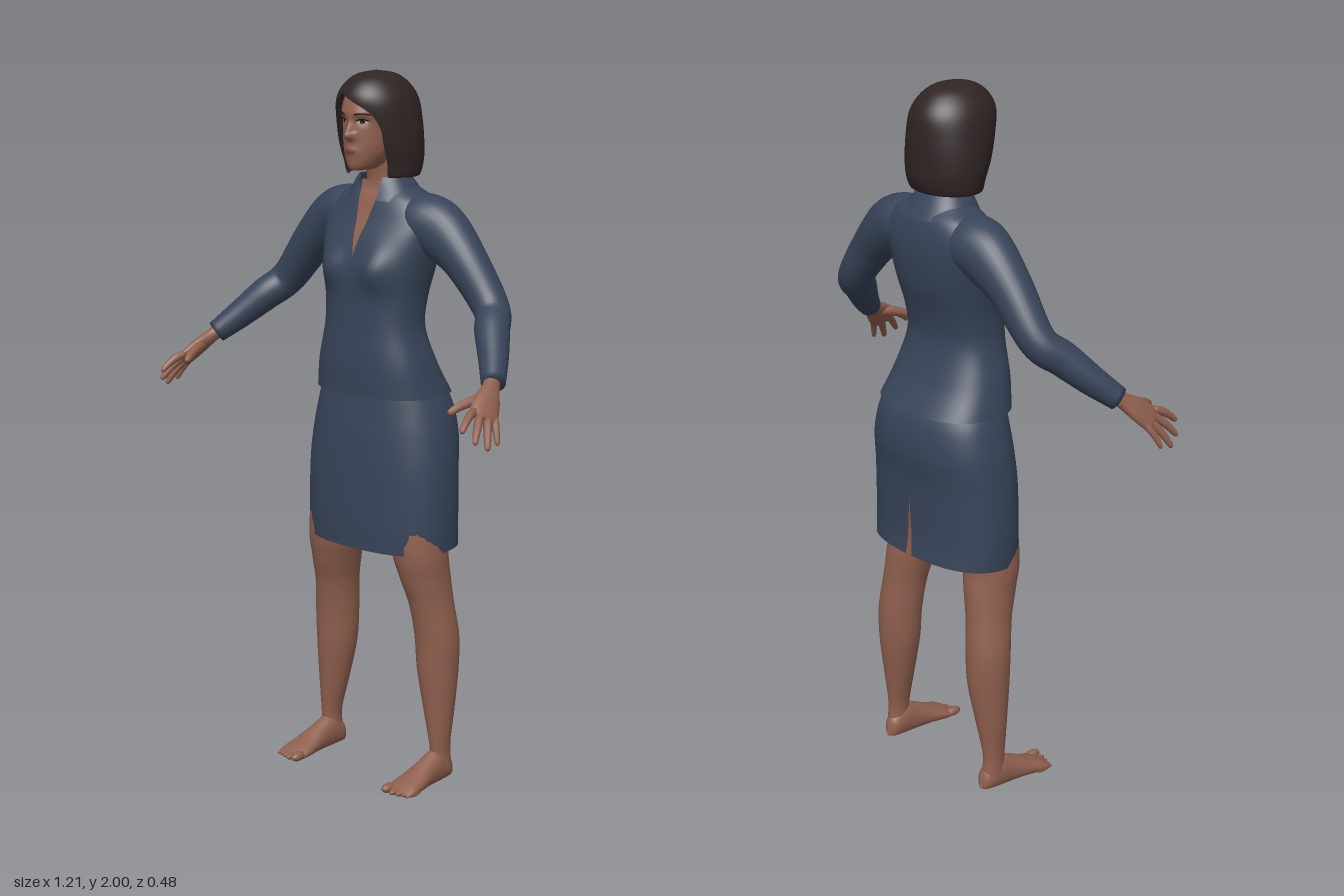
import * as THREE from 'three';
import { mergeVertices } from 'three/addons/utils/BufferGeometryUtils.js';

const mat = (name, color, side = THREE.FrontSide) => {
  const m = new THREE.MeshStandardMaterial({ color, side });
  m.name = name;
  return m;
};
const { sin, cos, asin, abs, exp, sign, min, max, floor, PI } = Math;
const bell = (d, w) => exp(-((d / w) ** 2));
const clamp = THREE.MathUtils.clamp;

// smooth interpolation through rows of numbers
const track = rows => t => {
  const n = rows.length, s = clamp(t, 0, 1) * (n - 1), i = min(floor(s), n - 2), f = s - i;
  return rows[i].map((b, k) => {
    const c = rows[i + 1][k];
    const m0 = i > 0 ? (c - rows[i - 1][k]) / 2 : c - b;
    const m1 = i < n - 2 ? (rows[i + 2][k] - b) / 2 : c - b;
    const f2 = f * f, f3 = f2 * f;
    return (2 * f3 - 3 * f2 + 1) * b + (f3 - 2 * f2 + f) * m0 + (3 * f2 - 2 * f3) * c + (f3 - f2) * m1;
  });
};

// surface from a rule: u runs around, v along
function grid(nu, nv, rule) {
  const pos = [], idx = [];
  for (let j = 0; j <= nv; j++)
    for (let i = 0; i <= nu; i++) pos.push(...rule(i / nu, j / nv));
  for (let j = 0; j < nv; j++)
    for (let i = 0; i < nu; i++) {
      const a = j * (nu + 1) + i, c = a + nu + 1;
      idx.push(a, a + 1, c + 1, a, c + 1, c);
    }
  let g = new THREE.BufferGeometry();
  g.setAttribute('position', new THREE.Float32BufferAttribute(pos, 3));
  g.setIndex(idx);
  g = mergeVertices(g, 1e-5);
  g.computeVertexNormals();
  return g;
}

// stacked rings; rows are [y, half width, front z, back z, centre x]
function shell(rows, { gap, start = 0, e = 1, warp = p => p, nu = 48, nv = 48 } = {}) {
  const at = track(rows);
  return grid(nu, nv, (u, v) => {
    const [y, rx, zf, zb, cx = 0] = at(v);
    let a = start + u * 2 * PI;
    if (gap) {
      const edge = gap(y).map(x => {
        const q = clamp(x / max(rx, 1e-4), -0.9, 0.9);
        return asin(sign(q) * abs(q) ** (1 / e));
      });
      a = start + edge[0] + u * (2 * PI + edge[1] - edge[0]);
    }
    const pw = q => sign(q) * abs(q) ** e;
    return warp([cx + rx * pw(sin(a)), y, (zf + zb) / 2 + (zf - zb) / 2 * pw(cos(a))]);
  });
}

// closed limb along a path; rows are [x, y, z, radius along ref, other radius]
function limb(rows, ref, nu = 20, nv = 32) {
  const at = track(rows);
  return grid(nu, nv, (u, v) => {
    const t = clamp((v * nv - 1) / (nv - 2), 0, 1), r = at(t);
    const T = new THREE.Vector3(...at(t + 0.01)).sub(new THREE.Vector3(...at(t - 0.01))).normalize();
    const A = ref.clone().addScaledVector(T, -ref.dot(T)).normalize();
    const B = T.clone().cross(A);
    const k = v === 0 || v === 1 ? 0 : 1, a = u * 2 * PI;
    return [0, 1, 2].map(i => r[i] + k * (A.getComponent(i) * r[3] * cos(a) + B.getComponent(i) * r[4] * sin(a)));
  });
}

function mirrored(geo) {
  const g = geo.clone().scale(-1, 1, 1), ix = g.index.array;
  for (let i = 0; i < ix.length; i += 3) [ix[i], ix[i + 1]] = [ix[i + 1], ix[i]];
  return g;
}

export function createModel() {
  const skin = mat('skin', 0x8f5f4e, THREE.DoubleSide), suit = mat('suit', 0x384459, THREE.DoubleSide);
  const hair = mat('hair', 0x302424, THREE.DoubleSide), dark = mat('browAndIris', 0x1c1413);
  const lip = mat('lips', 0x78453d), white = mat('eyeWhite', 0xb0a098);
  const model = new THREE.Group();
  model.name = 'woman';
  const add = (name, geo, m) => {
    const mesh = new THREE.Mesh(geo, m);
    mesh.name = name;
    model.add(mesh);
  };
  const pair = (name, geo, m) => {
    add('left' + name, geo, m);
    add('right' + name, mirrored(geo), m);
  };

  // jacket with an open V at the neck
  const bust = ([x, y, z]) => [x, y, z > -0.04 ? z + 0.024 * bell(abs(x) - 0.08, 0.045) * bell(y - 1.47, 0.055) : z];
  const torso = [[1.115, 0.2, 0.05, -0.235], [1.2, 0.18, 0.052, -0.185], [1.3, 0.152, 0.048, -0.155],
    [1.38, 0.152, 0.046, -0.165], [1.46, 0.165, 0.046, -0.188], [1.54, 0.18, 0.028, -0.2],
    [1.6, 0.185, 0, -0.2], [1.65, 0.15, -0.02, -0.19], [1.68, 0.1, -0.036, -0.168], [1.7, 0.068, -0.04, -0.152]];
  const vNeck = y => {
    const w = y > 1.5 ? 0.04 * (y - 1.5) / 0.2 : max(0, (1.15 - y) * 0.12);
    return [w, -w];
  };
  add('jacket', shell(torso, { gap: vNeck, e: 0.82, warp: bust, nu: 72, nv: 72 }), suit);
  add('chest', shell(torso.slice(3).map(([y, r, f, b]) => [y, r - 0.006, f - 0.006, b + 0.006]),
    { e: 0.82, warp: bust }), skin);
  add('collar', shell([[1.665, 0.085, -0.034, -0.17], [1.712, 0.072, -0.034, -0.152], [1.7, 0.084, -0.025, -0.165],
    [1.65, 0.115, -0.008, -0.196]], { gap: y => [0.04, -0.04], e: 0.9, nv: 16 }), suit);

  // skirt with a back slit
  add('skirt', shell([[0.675, 0.237, 0.045, -0.23], [0.75, 0.24, 0.047, -0.225], [0.9, 0.237, 0.045, -0.228],
    [1, 0.226, 0.04, -0.24], [1.08, 0.208, 0.032, -0.232], [1.14, 0.188, 0.025, -0.205]], {
    gap: y => [max(0, 0.87 - y) * 0.06, -max(0, 0.87 - y) * 0.06], start: PI, e: 0.82,
    warp: ([x, y, z]) => [x, y + max(0, -z) * 0.06 * clamp((0.8 - y) / 0.12, 0, 1), z],
  }), suit);

  // arms
  pair('Sleeve', limb([[0.08, 1.6, -0.1, 0.07, 0.06], [0.14, 1.595, -0.105, 0.08, 0.078], [0.2, 1.567, -0.108, 0.072, 0.08],
    [0.28, 1.5, -0.106, 0.06, 0.062], [0.375, 1.385, -0.1, 0.05, 0.05], [0.42, 1.335, -0.05, 0.048, 0.047],
    [0.47, 1.277, 0.005, 0.041, 0.04], [0.515, 1.225, 0.06, 0.033, 0.032]], new THREE.Vector3(0, 0, 1), 28, 48), suit);

  // hands
  const spread = new THREE.Vector3(-0.38, 0.34, 0.85).normalize();
  pair('Palm', limb([[0.505, 1.237, 0.05, 0.022, 0.02], [0.519, 1.216, 0.075, 0.025, 0.019], [0.535, 1.19, 0.108, 0.037, 0.019],
    [0.552, 1.16, 0.143, 0.042, 0.015], [0.557, 1.15, 0.154, 0.034, 0.009]], spread), skin);
  const finger = (name, base, tip, r) => {
    const row = (t, k) => [...base.map((b, i) => b + (tip[i] - b) * t + (i === 1 ? 0.008 * sin(PI * t) : 0)), r * k, r * k];
    pair(name, limb([row(0, 1), row(0.35, 1.05), row(0.7, 0.9), row(0.94, 0.68), row(1, 0.3)], spread, 10, 14), skin);
  };
  const tips = { IndexFinger: [0.557, 1.13, 0.238], MiddleFinger: [0.583, 1.1, 0.216], RingFinger: [0.598, 1.08, 0.182], LittleFinger: [0.598, 1.088, 0.142] };
  Object.entries(tips).forEach(([name, tip], i) => {
    const k = 0.031 - i * 0.0207;
    finger(name, [0.55 + spread.x * k, 1.163 + spread.y * k, 0.14 + spread.z * k], tip, i === 3 ? 0.0095 : 0.011);
  });
  finger('Thumb', [0.524, 1.195, 0.105], [0.487, 1.165, 0.208], 0.0135);

  // legs
  pair('Leg', shell([[0.03, 0.028, -0.07, -0.138, 0.21], [0.1, 0.026, -0.064, -0.133, 0.21], [0.2, 0.042, -0.056, -0.147, 0.203],
    [0.32, 0.058, -0.045, -0.165, 0.194], [0.42, 0.063, -0.04, -0.168, 0.191], [0.52, 0.061, -0.024, -0.16, 0.18],
    [0.6, 0.068, 0, -0.155, 0.168], [0.7, 0.08, 0.018, -0.15, 0.155], [0.95, 0.09, 0.015, -0.19, 0.12]], { nu: 28 }), skin);

  // feet, rows are [z, half width, height, centre x]
  const footAt = track([[-0.146, 0.004, 0.03, 0.207], [-0.13, 0.024, 0.062, 0.207], [-0.085, 0.031, 0.092, 0.208],
    [-0.035, 0.035, 0.074, 0.209], [0.02, 0.044, 0.048, 0.21], [0.06, 0.048, 0.032, 0.21], [0.09, 0.043, 0.015, 0.21]]);
  pair('Foot', grid(24, 28, (u, v) => {
    const [z, w, h, cx] = footAt(v), a = u * 2 * PI;
    return [cx + w * cos(a), max(0.003, h * (0.42 + 0.58 * sin(a))), z];
  }), skin);
  for (let i = 0; i < 5; i++) {
    const r = i ? 0.0105 - i * 0.0006 : 0.0145;
    const g = new THREE.SphereGeometry(1, 12, 8).scale(r, r * 0.95, 0.026);
    pair('Toe' + (i + 1), g.translate([0.176, 0.2, 0.219, 0.236, 0.25][i], r, [0.084, 0.082, 0.076, 0.068, 0.058][i]), skin);
  }

  // neck and head
  add('neck', shell([[1.6, 0.06, -0.03, -0.14], [1.66, 0.056, -0.042, -0.145], [1.72, 0.052, -0.045, -0.145],
    [1.8, 0.055, -0.03, -0.14]], { nu: 28, nv: 12 }), skin);
  const headRows = [[1.733, 0, 0.02, 0], [1.738, 0.028, 0.04, -0.05], [1.762, 0.05, 0.047, -0.09], [1.8, 0.069, 0.047, -0.13],
    [1.85, 0.077, 0.047, -0.155], [1.9, 0.081, 0.049, -0.165], [1.95, 0.07, 0.025, -0.15], [1.98, 0.035, -0.02, -0.11], [1.988, 0, -0.06, -0.06]];
  const face = ([x, y, z]) => {
    if (z < -0.02) return [x, y, z];
    const nose = y > 1.828 ? bell(y - 1.828, 0.034) : bell(y - 1.828, 0.009);
    return [x, y, z + 0.023 * bell(x, y > 1.84 ? 0.009 : 0.013) * nose + 0.006 * bell(x, 0.022) * bell(y - 1.788, 0.012)
      - 0.007 * bell(abs(x) - 0.033, 0.018) * bell(y - 1.868, 0.012) + 0.003 * bell(y - 1.888, 0.01) * bell(abs(x) - 0.03, 0.025)];
  };
  add('head', shell(headRows, { warp: face, nu: 128, nv: 96 }), skin);

  // thin plates that follow the face
  const headAt = track(headRows);
  const faceZ = (x, y) => {
    let lo = 0, hi = 1;
    for (let i = 0; i < 24; i++) headAt((lo + hi) / 2)[0] < y ? lo = (lo + hi) / 2 : hi = (lo + hi) / 2;
    const [, rx, f, b] = headAt(lo);
    return face([x, y, (f + b) / 2 + (f - b) / 2 * cos(asin(clamp(x / rx, -1, 1)))])[2];
  };
  const plate = (cx, cy, w, h, arch, lift) => grid(16, 4, (u, v) => {
    const p = 2 * u - 1, x = cx + w * p, y = cy + h * (2 * v - 1) * (1 - p * p) ** 0.5 - arch * p * p;
    return [x, y, faceZ(x, y) + lift];
  });
  pair('EyeWhite', plate(0.033, 1.867, 0.015, 0.0055, 0, 0.0015), white);
  pair('Iris', plate(0.033, 1.867, 0.0062, 0.0055, 0, 0.0025), dark);
  pair('Lashes', plate(0.034, 1.874, 0.018, 0.0022, 0.005, 0.003), dark);
  pair('Brow', plate(0.036, 1.89, 0.021, 0.003, 0.004, 0.002), dark);
  add('upperLip', plate(0, 1.792, 0.023, 0.0035, 0.003, 0.0015), lip);
  add('lowerLip', plate(0, 1.784, 0.019, 0.0045, -0.003, 0.0015), lip);

  // bobbed hair with an off-centre parting
  const openTo = track([[0.074, -0.074], [0.08, -0.08], [0.081, -0.081], [0.078, -0.075], [0.052, -0.062], [-0.03, -0.03]]);
  add('hair', shell([[1.745, 0.085, -0.03, -0.15], [1.715, 0.107, -0.003, -0.17], [1.75, 0.117, 0.01, -0.186],
    [1.8, 0.121, 0.03, -0.19], [1.86, 0.117, 0.047, -0.19], [1.92, 0.106, 0.058, -0.184], [1.96, 0.084, 0.042, -0.16],
    [1.988, 0.05, 0.005, -0.12], [2, 0, -0.055, -0.055]],
  { gap: y => openTo((y - 1.72) / 0.225), nu: 72, nv: 96 }), hair);

  return model;
}
